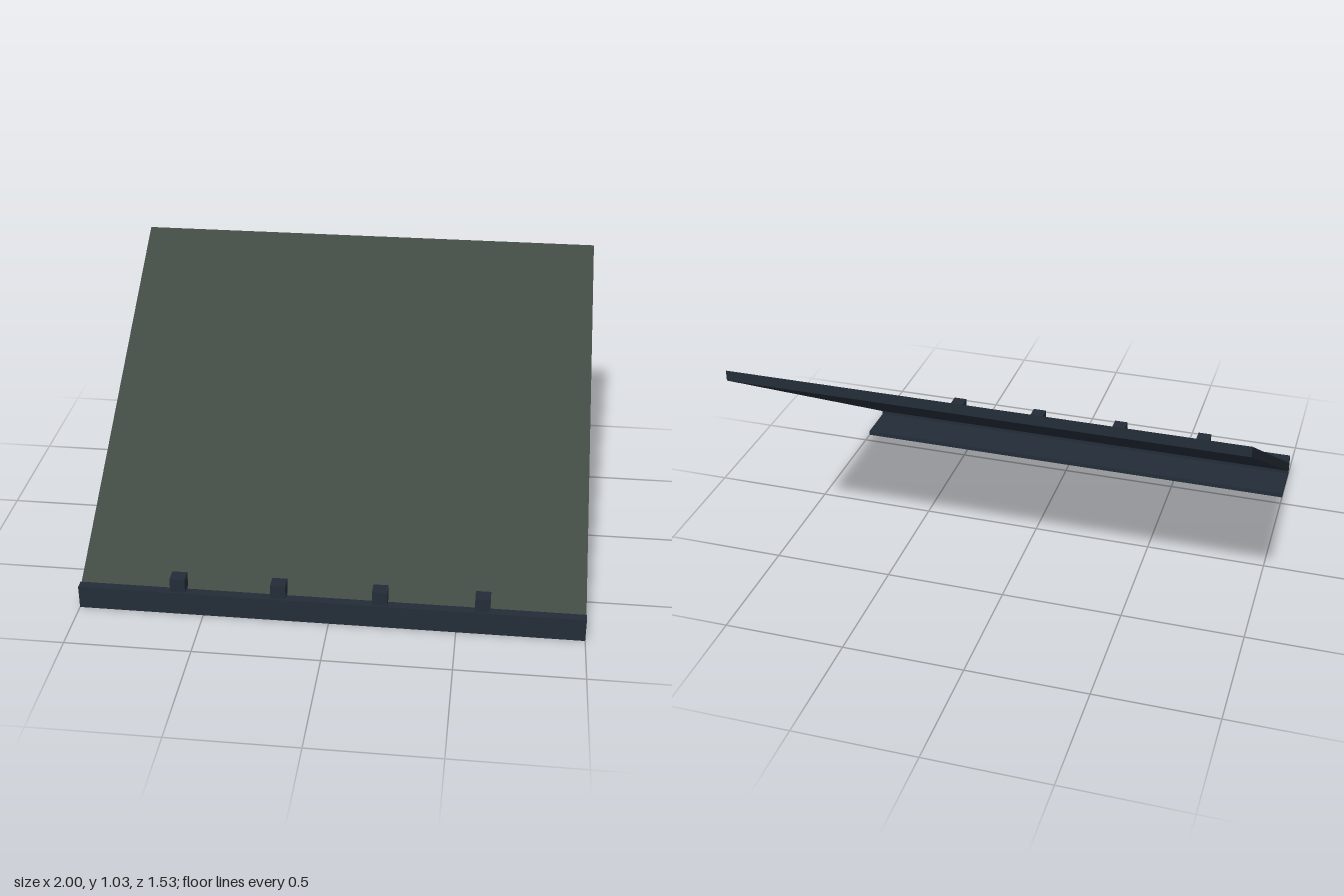
import * as THREE from 'three';

const mat = (name, color) => {
  const m = new THREE.MeshStandardMaterial({ color });
  m.name = name;
  return m;
};

export function createModel() {
  const model = new THREE.Group();
  model.name = 'slopedPanel';
  const slate = mat('dark slate', 0x232d37);
  const green = mat('grey green', 0x404a43);

  // Box given by its limits on each axis
  const addBox = (name, [x0, x1], [y0, y1], [z0, z1]) => {
    const mesh = new THREE.Mesh(new THREE.BoxGeometry(x1 - x0, y1 - y0, z1 - z0), slate);
    mesh.position.set((x0 + x1) / 2, (y0 + y1) / 2, (z0 + z1) / 2);
    mesh.name = name;
    model.add(mesh);
  };

  // Sloping board: a sheared box with upright ends and a green upper face
  const zBack = -0.763, zFront = 0.735, slope = 0.64;
  const board = new THREE.BoxGeometry(2, 0.043, zFront - zBack);
  board.translate(0, 0.522, (zFront + zBack) / 2);
  const p = board.attributes.position;
  for (let i = 0; i < p.count; i++) p.setY(i, p.getY(i) - slope * p.getZ(i));
  board.computeVertexNormals();
  const panel = new THREE.Mesh(board, [slate, slate, green, slate, slate, slate]);
  panel.name = 'slopingBoard';
  model.add(panel);

  // Foot plate and upright front lip
  addBox('footPlate', [-1, 1], [0, 0.02], [0.55, 0.735]);
  addBox('frontLip', [-1, 1], [0, 0.097], [0.726, 0.763]);

  // Four stops along the lip
  for (const x of [-0.6, -0.2, 0.2, 0.6]) {
    addBox('stop', [x - 0.03, x + 0.03], [0.075, 0.155], [0.697, 0.754]);
  }
  return model;
}
